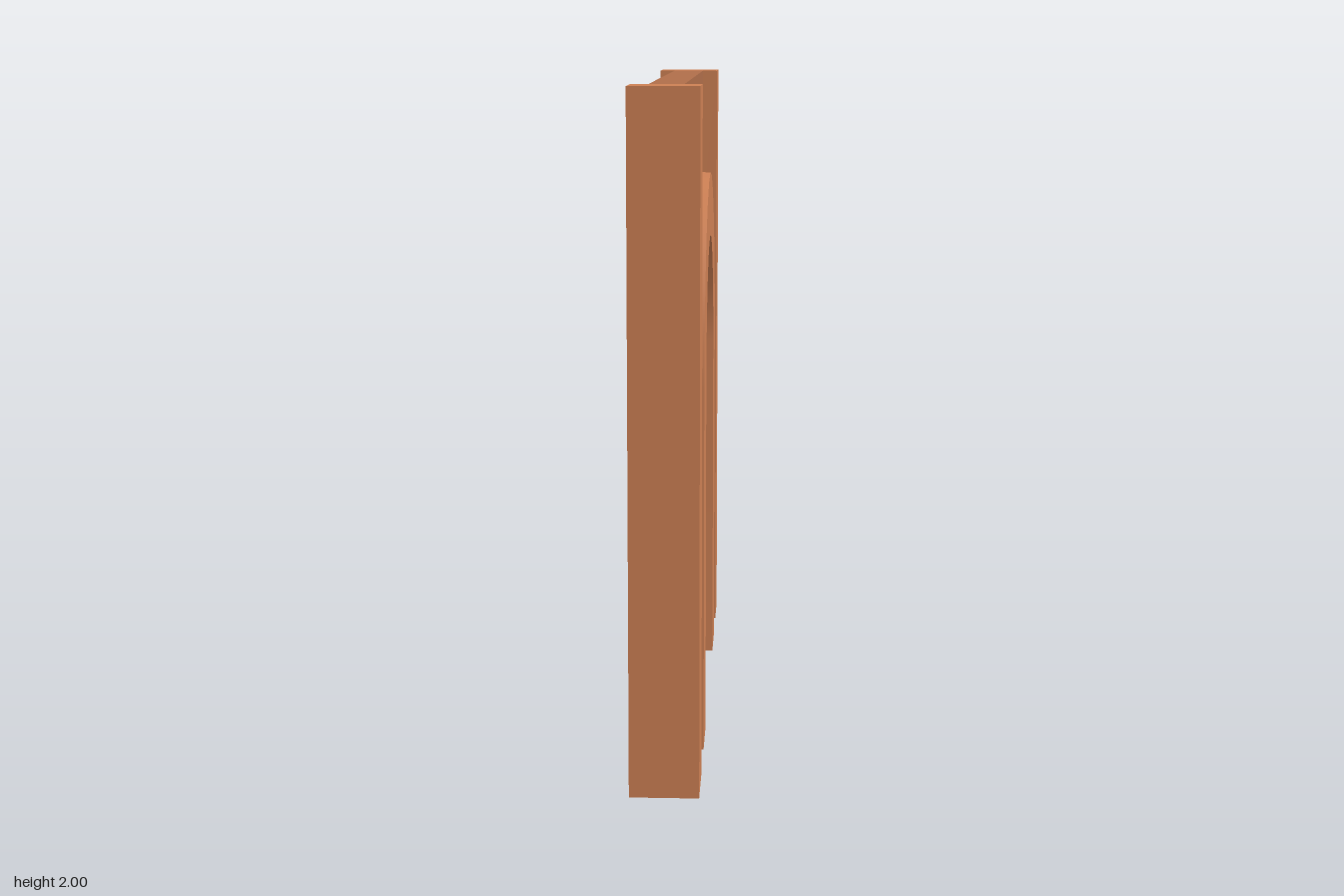
import * as THREE from 'three';
import { toCreasedNormals } from 'three/addons/utils/BufferGeometryUtils.js';

const SPRING = 1.1; // height where every arch starts to curve
const light = new THREE.MeshStandardMaterial({ color: 0xcd8054 });
const dark = new THREE.MeshStandardMaterial({ color: 0xb06e4a });

// Outline of a round-headed arch: straight sides from base, then a half circle
function archPoints(radius, base, segments) {
  const points = [new THREE.Vector2(-radius, base), new THREE.Vector2(radius, base)];
  for (let i = 0; i <= segments; i++) {
    const a = (Math.PI * i) / segments;
    points.push(new THREE.Vector2(radius * Math.cos(a), SPRING + radius * Math.sin(a)));
  }
  return points;
}

// Rectangle with an arch cut up from its bottom edge, or an arch inside an arch
function openBelow(outer, inner) {
  // both outlines run bottom left, bottom right, then over the top
  const [outerLeft, outerRight, ...outerTop] = outer;
  const [innerLeft, innerRight, ...innerTop] = inner;
  return new THREE.Shape([outerRight, ...outerTop, outerLeft, innerLeft, ...innerTop.reverse(), innerRight]);
}

// Extrude a shape symmetrically across the thin x direction
function slab(name, shape, thickness, material) {
  const geometry = new THREE.ExtrudeGeometry(shape, { depth: thickness, bevelEnabled: false });
  geometry.translate(0, 0, -thickness / 2).rotateY(Math.PI / 2);
  const mesh = new THREE.Mesh(toCreasedNormals(geometry, Math.PI / 6), material);
  mesh.name = name;
  return mesh;
}

export function createModel() {
  const model = new THREE.Group();
  model.name = 'archedDoorWall';

  // End pillars
  for (const side of [-1, 1]) {
    const pillar = new THREE.Mesh(new THREE.BoxGeometry(0.2, 2, 0.2), light);
    pillar.position.set(0, 1, side * 0.9);
    pillar.name = side > 0 ? 'frontPillar' : 'backPillar';
    model.add(pillar);
  }

  // Wall panel around the arch
  const rectangle = [[-0.8, 0], [0.8, 0], [0.8, 2], [-0.8, 2]].map(([x, y]) => new THREE.Vector2(x, y));
  model.add(slab('wall', openBelow(rectangle, archPoints(0.6, 0, 12)), 0.1, dark));

  // Raised arch frame
  const frame = openBelow(archPoints(0.6, 0, 12), archPoints(0.4, 0, 12));
  model.add(slab('archFrame', frame, 0.2, light));

  // Door leaf with its arched window
  const windowHole = () => new THREE.Path(archPoints(0.2, 0.985, 24));
  const door = new THREE.Shape(archPoints(0.4, 0, 12));
  door.holes.push(windowHole());
  model.add(slab('door', door, 0.1, light));

  // Dark bands on both faces, around the window and the lower panel
  const bands = new THREE.Shape(archPoints(0.3, 0.1, 24));
  const panel = [[-0.2, 0.2], [0.2, 0.2], [0.2, 0.885], [-0.2, 0.885]];
  bands.holes.push(windowHole(), new THREE.Path(panel.map(([x, y]) => new THREE.Vector2(x, y))));
  for (const side of [-1, 1]) {
    const trim = new THREE.Mesh(new THREE.ShapeGeometry(bands), dark);
    trim.rotation.y = (side * Math.PI) / 2;
    trim.position.x = side * 0.051;
    trim.name = side > 0 ? 'leftDoorTrim' : 'rightDoorTrim';
    model.add(trim);
  }
  return model;
}
